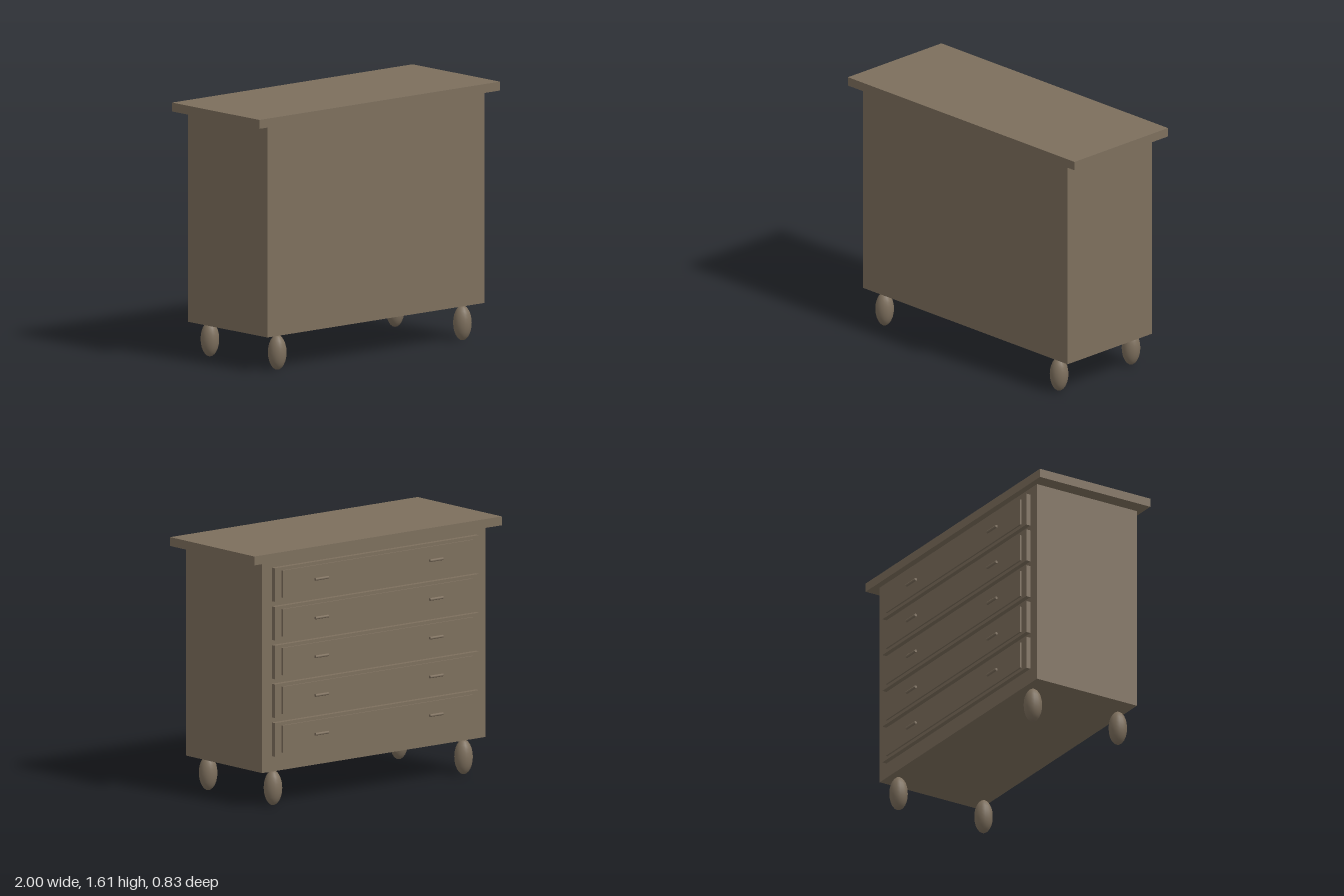
import * as THREE from 'three';

export function createModel() {
  const model = new THREE.Group();
  model.name = 'chestOfDrawers';
  const wood = new THREE.MeshStandardMaterial({ color: 0x7d6f5d });
  wood.name = 'brownWood';

  const add = (name, geometry, x, y, z, parent = model) => {
    const mesh = new THREE.Mesh(geometry, wood);
    mesh.name = name;
    mesh.position.set(x, y, z);
    parent.add(mesh);
    return mesh;
  };

  // Carcass and overhanging top
  add('cabinetBody', new THREE.BoxGeometry(1.804, 1.33, 0.735), 0, 0.893, 0.0105);
  add('tableTop', new THREE.BoxGeometry(2, 0.056, 0.812), 0, 1.586, 0.008);

  // Egg-shaped feet
  const footGeometry = new THREE.SphereGeometry(0.058, 16, 12);
  footGeometry.scale(1, 1.9, 1);
  for (const x of [-0.77, 0.77]) {
    for (const z of [-0.303, 0.322]) add('foot', footGeometry, x, 0.112, z);
  }

  // Five drawers on the -z side, each with a raised panel and two pulls
  const frontGeometry = new THREE.BoxGeometry(1.65, 0.212, 0.034);
  const panelGeometry = new THREE.BoxGeometry(1.54, 0.172, 0.014);
  const pullGeometry = new THREE.CylinderGeometry(0.009, 0.009, 0.105, 12);
  pullGeometry.rotateZ(Math.PI / 2);
  for (let i = 0; i < 5; i++) {
    const drawer = new THREE.Group();
    drawer.name = 'drawer';
    drawer.position.y = 0.432 + i * 0.2445;
    model.add(drawer);
    add('drawerFront', frontGeometry, 0, 0, -0.370, drawer);
    add('raisedPanel', panelGeometry, 0, 0, -0.391, drawer);
    for (const x of [-0.463, 0.463]) add('pull', pullGeometry, x, 0, -0.407, drawer);
  }
  return model;
}
